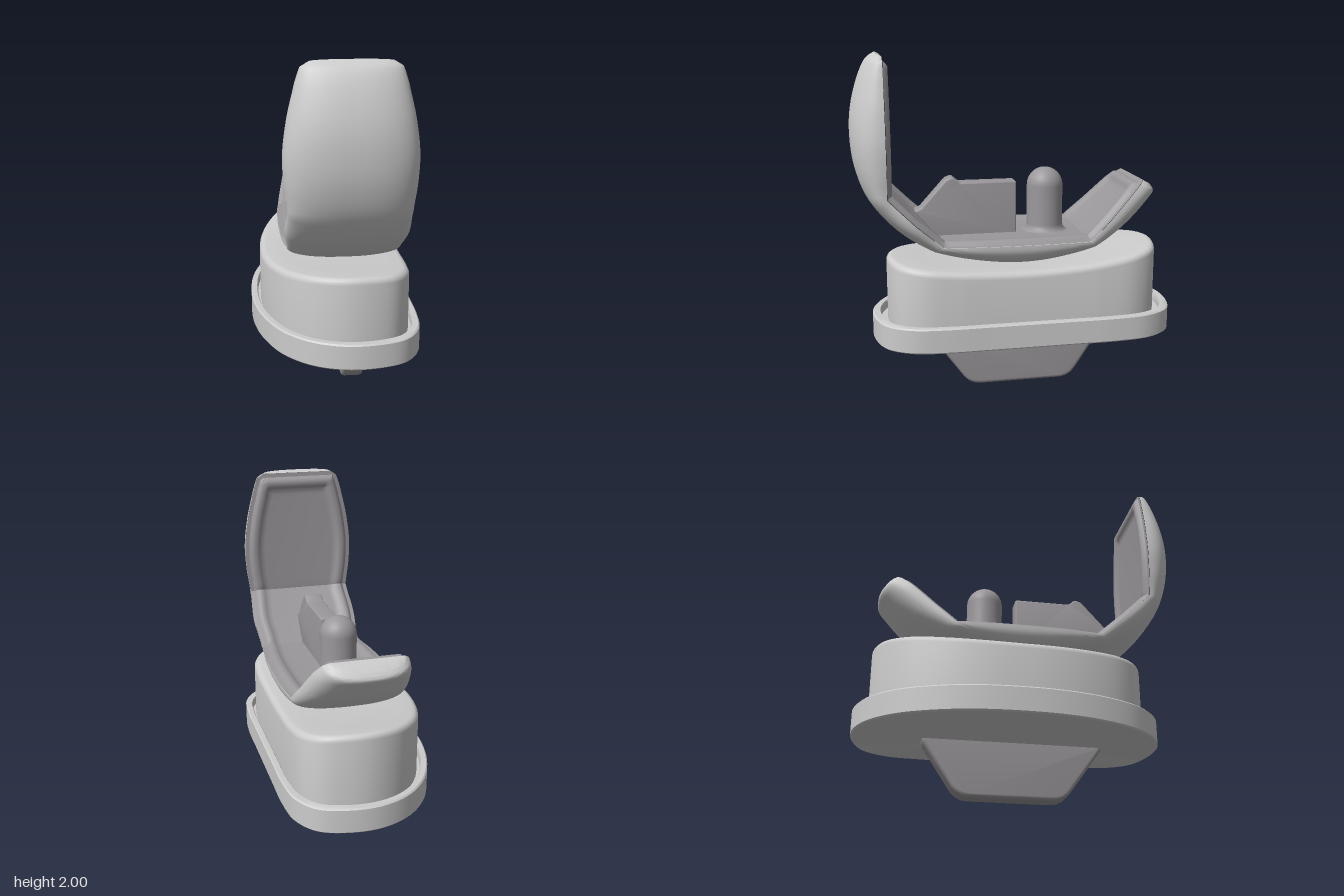
import * as THREE from 'three';
import { toCreasedNormals } from 'three/addons/utils/BufferGeometryUtils.js';

const CX = 0.045; // centre line of the scoop
const CZ = -0.045; // centre of the base

// Surface through a grid of points; its normal is d/di x d/dj
function surface(fn, ni, nj, crease = 0.7) {
  const pos = [], index = [];
  for (let i = 0; i <= ni; i++) for (let j = 0; j <= nj; j++) pos.push(...fn(i, j));
  for (let i = 0; i < ni; i++) for (let j = 0; j < nj; j++) {
    const a = i * (nj + 1) + j, b = a + nj + 1;
    index.push(a, b, a + 1, b, b + 1, a + 1);
  }
  const g = new THREE.BufferGeometry();
  g.setAttribute('position', new THREE.Float32BufferAttribute(pos, 3));
  g.setIndex(index);
  return toCreasedNormals(g, crease);
}

// Half of the D-shaped outline of the base, mirrored front to back
const half = [[-0.48, 0], [-0.465, -0.24], [-0.41, -0.47], [-0.31, -0.68], [-0.16, -0.83], [0.02, -0.9],
  [0.2, -0.895], [0.36, -0.835], [0.45, -0.7], [0.478, -0.5], [0.48, -0.25], [0.48, 0]];
const loop = [...half, ...half.slice(1, -1).reverse().map(([x, z]) => [x, -z])];
const outline = new THREE.CatmullRomCurve3(loop.map(([x, z]) => new THREE.Vector3(x, 0, z)), true);

// Stack of scaled outlines: each ring is [scaleX, scaleZ, y or y(z)]
function stack(rings) {
  const n = 120, pts = outline.getPoints(n);
  return surface((i, j) => {
    const [sx, sz, y] = rings[i], p = pts[j], z = p.z * sz + CZ;
    return [p.x * sx, typeof y === 'function' ? y(z) : y, z];
  }, rings.length - 1, n);
}

// Flat profile in (z, y) with rounded corners, thickened along x
function slab(points, radius, x0, x1, bevel) {
  const v = points.map(([z, y]) => new THREE.Vector2(z, y));
  const shape = new THREE.Shape();
  v.forEach((p, i) => {
    const toward = (q) => p.clone().add(q.clone().sub(p).setLength(Math.min(radius, q.distanceTo(p) * 0.45)));
    const a = toward(v[(i + v.length - 1) % v.length]), b = toward(v[(i + 1) % v.length]);
    if (i === 0) shape.moveTo(a.x, a.y); else shape.lineTo(a.x, a.y);
    shape.quadraticCurveTo(p.x, p.y, b.x, b.y);
  });
  shape.closePath();
  const g = new THREE.ExtrudeGeometry(shape, {
    depth: x1 - x0 - 2 * bevel, bevelThickness: bevel, bevelSize: bevel, bevelOffset: -bevel,
    bevelSegments: 3, curveSegments: 6,
  });
  g.rotateY(-Math.PI / 2).translate(x1 - bevel, 0, 0);
  return toCreasedNormals(g, 0.6);
}

// Scoop stations: inner z, y, outer z, y, half width
const stations = [
  [0.77, 1.985, 0.80, 2.0, 0.22], [0.77, 1.96, 0.85, 1.965, 0.262], [0.77, 1.88, 0.895, 1.88, 0.29],
  [0.77, 1.7, 0.945, 1.7, 0.332], [0.77, 1.52, 0.957, 1.54, 0.355], [0.77, 1.36, 0.937, 1.36, 0.35],
  [0.77, 1.21, 0.87, 1.18, 0.332], [0.62, 1.06, 0.72, 1.0, 0.342], [0.46, 0.92, 0.52, 0.87, 0.325],
  [0.25, 0.92, 0.25, 0.795, 0.346], [0, 0.92, 0, 0.768, 0.354], [-0.2, 0.92, -0.2, 0.785, 0.352],
  [-0.4, 0.92, -0.46, 0.855, 0.338], [-0.53, 1.04, -0.65, 0.965, 0.308], [-0.66, 1.17, -0.8, 1.105, 0.27],
  [-0.72, 1.225, -0.848, 1.165, 0.24], [-0.745, 1.245, -0.825, 1.205, 0.21],
];
const SUB = 6, ROWS = (stations.length - 1) * SUB;
const outer = new THREE.CatmullRomCurve3(stations.map((s) => new THREE.Vector3(s[4], s[3], s[2])));
const inner = [];
for (let i = 0; i <= ROWS; i++) {
  const k = Math.min(Math.floor(i / SUB), stations.length - 2), f = i / SUB - k;
  const [a, b] = [stations[k], stations[k + 1]];
  inner.push(new THREE.Vector2(a[0] + (b[0] - a[0]) * f, a[1] + (b[1] - a[1]) * f));
}

// Rounded outer shell, closed at both ends
function shellGeometry() {
  const n = 40;
  return surface((i, j) => {
    const r = Math.min(Math.max(i - 1, 0), ROWS), q = inner[r], o = outer.getPoint(r / ROWS);
    const t = Math.PI * j / n, c = Math.cos(t);
    const depth = i === 0 || i === ROWS + 2 ? 0 : Math.pow(Math.max(Math.sin(t), 0), 0.8);
    const x = -Math.sign(c) * Math.pow(Math.abs(c), 0.8) * o.x;
    return [CX + x, q.y + (o.y - q.y) * depth, q.x + (o.z - q.x) * depth];
  }, ROWS + 2, n, 0.9);
}

// Inner lining with a raised ridge a little way in from the edge
function liningGeometry() {
  const arc = [0];
  for (let i = 1; i <= ROWS; i++) arc.push(arc[i - 1] + inner[i].distanceTo(inner[i - 1]));
  const insets = [0, 0.025, 0.04, 0.05, 0.075, 0.09, 0.105, 0.13];
  const heights = [0.002, 0.004, 0.024, 0.03, 0.03, 0.022, 0.012, 0.01];
  const rise = (d) => {
    for (let k = 1; k < insets.length; k++) if (d < insets[k]) {
      return THREE.MathUtils.mapLinear(d, insets[k - 1], insets[k], heights[k - 1], heights[k]);
    }
    return 0.01;
  };
  const m = insets.length;
  return surface((i, j) => {
    const w = outer.getPoint(i / ROWS).x, side = j < m ? 1 : -1;
    const inset = insets[j < m ? j : 2 * m - 1 - j];
    const d = Math.min(inset, arc[i], arc[ROWS] - arc[i]);
    const t = inner[Math.min(i + 1, ROWS)].clone().sub(inner[Math.max(i - 1, 0)]).normalize();
    const h = rise(d), p = inner[i];
    return [CX + side * (w - inset), p.y - t.x * h, p.x + t.y * h];
  }, ROWS, 2 * m - 1, 0.6);
}

export function createModel() {
  const model = new THREE.Group();
  const lightGrey = new THREE.MeshStandardMaterial({ color: 0xcccccc });
  lightGrey.name = 'light grey';
  const midGrey = new THREE.MeshStandardMaterial({ color: 0x9b989b });
  midGrey.name = 'mid grey';
  const add = (name, geometry, material) => {
    const mesh = new THREE.Mesh(geometry, material);
    mesh.name = name;
    model.add(mesh);
    return mesh;
  };

  // Base plate with a shallow groove inside its rim
  add('basePlate', stack([[0, 0, 0.33], [0.985, 0.99, 0.33], [1, 1, 0.338], [1, 1, 0.472], [0.985, 0.99, 0.48],
    [0.925, 0.95, 0.48], [0.915, 0.945, 0.472], [0.915, 0.945, 0.43], [0.8, 0.8, 0.43]]), lightGrey);

  // Pedestal with a dished top and soft upper edge
  const top = (z) => 0.77 + (z < 0 ? 0.135 : 0.095) * z * z;
  const rings = [[0.88, 0.9, 0.42], [0.88, 0.9, (z) => top(z) - 0.04]];
  for (let k = 1; k <= 5; k++) {
    const a = k / 5 * Math.PI / 2, s = 0.04 * (1 - Math.cos(a));
    rings.push([0.88 - 2 * s, 0.9 - s, (z) => top(z) - 0.04 * (1 - Math.sin(a))]);
  }
  for (let k = 4; k >= 0; k--) rings.push([0.8 * k / 5, 0.86 * k / 5, top]);
  add('pedestal', stack(rings), lightGrey);

  // Keel under the base
  add('keel', slab([[0.55, 0.36], [0.29, 0], [-0.33, 0], [-0.57, 0.36]], 0.07, 0.05, 0.18, 0.02), midGrey);

  // Scoop
  add('scoopShell', shellGeometry(), lightGrey);
  add('scoopLining', liningGeometry(), midGrey);

  // Upright fin with a small hump before its slope
  add('fin', slab([[-0.01, 0.9], [-0.01, 1.24], [0.33, 1.24], [0.37, 1.275], [0.41, 1.262], [0.56, 1.095],
    [0.6, 1.08], [0.45, 0.9]], 0.012, -0.01, 0.1, 0.008), midGrey);

  // Round-topped peg with a flared foot
  const profile = [[0.15, 0.925], [0.13, 0.932], [0.115, 0.945], [0.108, 0.97]];
  for (let k = 0; k <= 12; k++) {
    const a = k / 12 * Math.PI / 2;
    profile.push([0.108 * Math.cos(a), 1.204 + 0.108 * Math.sin(a)]);
  }
  const peg = add('peg', new THREE.LatheGeometry(profile.map(([r, y]) => new THREE.Vector2(r, y)), 40), midGrey);
  peg.position.set(CX, 0, -0.195);

  return model;
}
